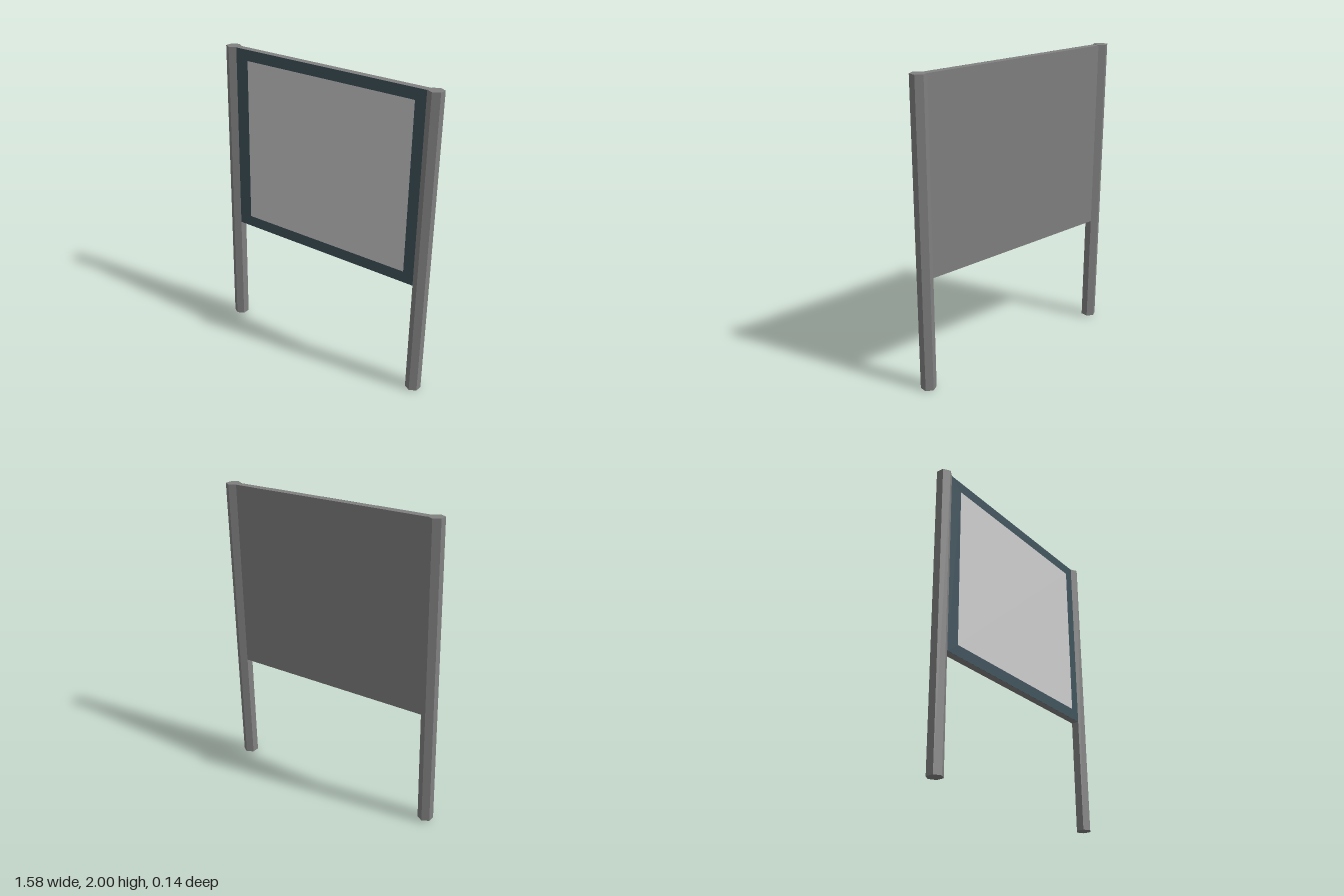
import * as THREE from 'three';

const POST_X = 0.741, POST_R = 0.05, HALF_H = 0.993;
const BOARD_X = POST_X - POST_R * Math.cos(Math.PI / 6); // board meets the post edges
const BOARD_TOP = 0.991, BOARD_BOTTOM = -0.242;
const FRONT = 0.025, SKIN = 0.001;
const PANEL = { x0: -0.605, x1: 0.626, y0: -0.169, y1: 0.92 };

function rectangle(Type, x0, x1, y0, y1) {
  const p = new Type();
  p.moveTo(x0, y0);
  p.lineTo(x1, y0);
  p.lineTo(x1, y1);
  p.lineTo(x0, y1);
  p.closePath();
  return p;
}

export function createModel() {
  const model = new THREE.Group();
  model.name = 'noticeBoard';

  const postMat = new THREE.MeshStandardMaterial({ color: 0x808080, flatShading: true });
  const frameMat = new THREE.MeshStandardMaterial({ color: 0x40535c });
  const panelMat = new THREE.MeshStandardMaterial({ color: 0xcccccc });

  const add = (name, geometry, material, x, y, z) => {
    const mesh = new THREE.Mesh(geometry, material);
    mesh.name = name;
    mesh.position.set(x, y, z);
    model.add(mesh);
  };

  // Hexagonal posts, one edge facing forward
  for (const side of [-1, 1]) {
    const post = new THREE.CylinderGeometry(POST_R, POST_R, HALF_H * 2, 6);
    add(side > 0 ? 'leftPost' : 'rightPost', post, postMat, side * POST_X, 0, 0);
  }

  // Board between the posts
  const boardDepth = FRONT * 2 - SKIN;
  add('board', new THREE.BoxGeometry(BOARD_X * 2, BOARD_TOP - BOARD_BOTTOM, boardDepth),
    postMat, 0, (BOARD_TOP + BOARD_BOTTOM) / 2, -SKIN / 2);

  // Dark border on the front face, with an opening for the panel
  const border = rectangle(THREE.Shape, -BOARD_X, BOARD_X, BOARD_BOTTOM, BOARD_TOP);
  border.holes.push(rectangle(THREE.Path, PANEL.x0, PANEL.x1, PANEL.y0, PANEL.y1));
  add('border', new THREE.ExtrudeGeometry(border, { depth: SKIN, bevelEnabled: false }),
    frameMat, 0, 0, FRONT - SKIN);

  // Pale display panel, flush with the border
  add('displayPanel', new THREE.BoxGeometry(PANEL.x1 - PANEL.x0, PANEL.y1 - PANEL.y0, SKIN),
    panelMat, (PANEL.x0 + PANEL.x1) / 2, (PANEL.y0 + PANEL.y1) / 2, FRONT - SKIN / 2);

  // The whole sign leans slightly back and sideways
  model.rotation.set(-0.02, 0, -0.007);
  model.position.y = 1;

  const root = new THREE.Group();
  root.name = 'sign';
  root.add(model);
  return root;
}
